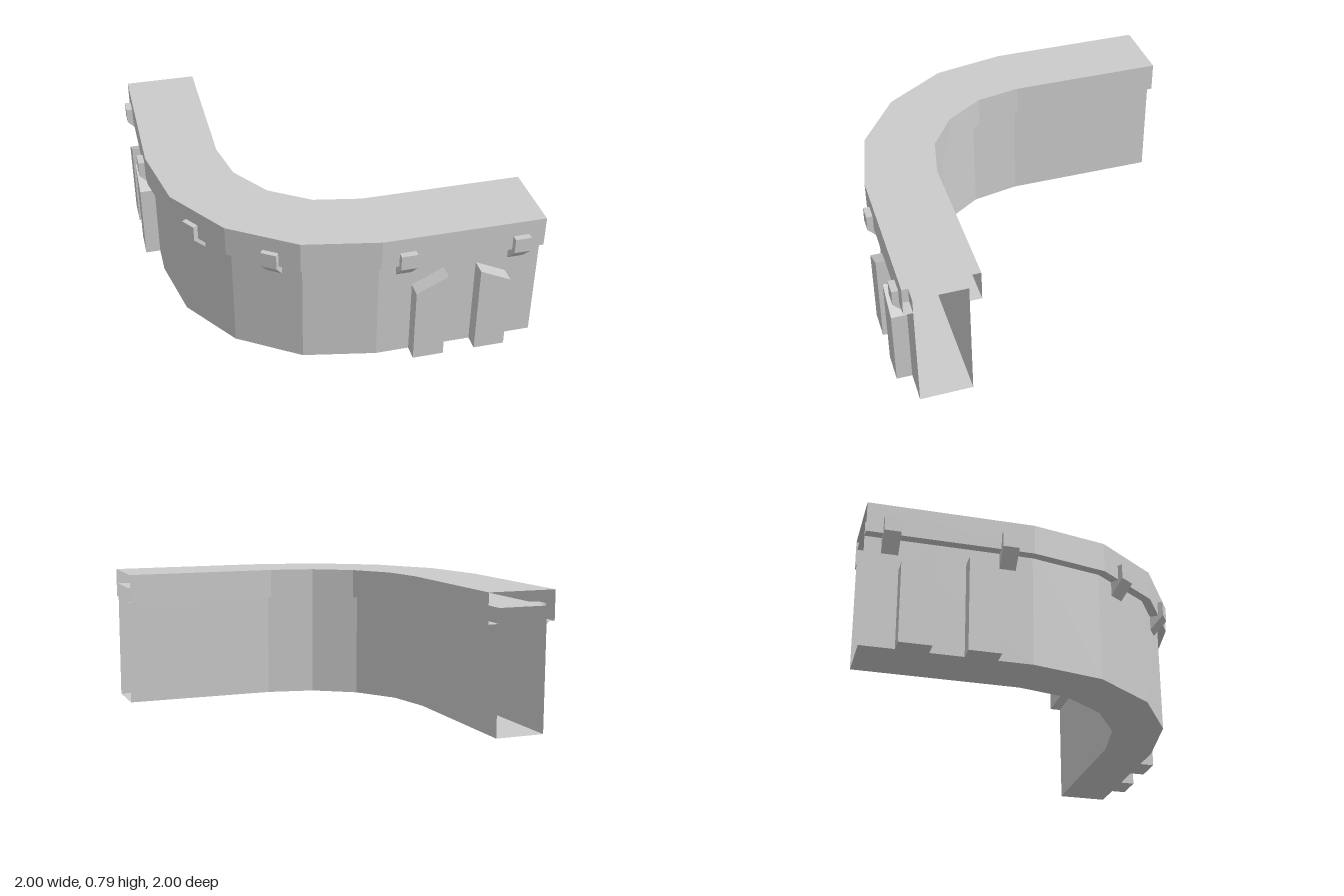
import * as THREE from 'three';

const material = new THREE.MeshStandardMaterial({ color: 0xcccccc, flatShading: true, side: THREE.DoubleSide });
const BEND = 0.11;   // bend centre is (BEND, -BEND) in x, z
const FRONT = 1;     // outermost face of the brackets and ribs

// Point at radius r and height y on one of the seven stations around the corner
function stationPoint(i, r, y) {
  if (i === 0) return [1, y, r - BEND];
  if (i === 6) return [BEND - r, y, -1];
  const a = (i - 1) * Math.PI / 8;
  return [BEND - r * Math.sin(a), y, r * Math.cos(a) - BEND];
}

// Sweep a [radius, height] profile along the L-shaped path, leaving both ends open
function sweep(name, profile) {
  const positions = [];
  for (let i = 0; i < 6; i++) {
    for (let j = 0; j < profile.length - 1; j++) {
      const a = stationPoint(i, ...profile[j]);
      const b = stationPoint(i, ...profile[j + 1]);
      const c = stationPoint(i + 1, ...profile[j + 1]);
      const d = stationPoint(i + 1, ...profile[j]);
      positions.push(...a, ...b, ...c, ...a, ...c, ...d);
    }
  }
  const geometry = new THREE.BufferGeometry();
  geometry.setAttribute('position', new THREE.Float32BufferAttribute(positions, 3));
  geometry.computeVertexNormals();
  const mesh = new THREE.Mesh(geometry, material);
  mesh.name = name;
  return mesh;
}

function extrude(points, depth) {
  const shape = new THREE.Shape(points.map(([x, y]) => new THREE.Vector2(x, y)));
  return new THREE.ExtrudeGeometry(shape, { depth, bevelEnabled: false });
}

// Place a part whose outer face is at (x, z), turned by angle from the front
function place(group, name, geometry, x, z, angle) {
  const mesh = new THREE.Mesh(geometry, material);
  mesh.name = name;
  mesh.position.set(x, 0, z);
  mesh.rotation.y = angle;
  group.add(mesh);
}

export function createModel() {
  const group = new THREE.Group();

  // Hollow wall and the wider cap that overhangs it
  group.add(sweep('wall', [[1.025, 0], [1.025, 0.705], [0.735, 0.705], [0.735, 0], [1.025, 0]]));
  group.add(sweep('cap', [[1.025, 0.62], [1.075, 0.62], [1.075, 0.79], [0.67, 0.79], [0.67, 0.62], [0.735, 0.62]]));

  // Brackets with a sloped underside, mirrored about the corner's diagonal
  const bracket = extrude([[-0.085, 0.53], [0, 0.62], [0, 0.705], [-0.085, 0.705]], 0.088);
  bracket.rotateY(-Math.PI / 2).translate(0.044, 0, 0);
  const brackets = [[0.247, FRONT, 0], [0.867, FRONT, 0], [-0.455, 0.815, -Math.PI * 3 / 16]];
  for (const [x, z, angle] of brackets) {
    place(group, 'bracket', bracket, x, z, angle);
    place(group, 'bracket', bracket, -z, -x, -Math.PI / 2 - angle);
  }

  // Upright ribs with slanted tops, a facing pair on each straight side
  const rib = (left, right) =>
    extrude([[-0.086, 0], [0.086, 0], [0.086, right], [-0.086, left]], 0.085).translate(0, 0, -0.085);
  const risingRib = rib(0.445, 0.53);
  const fallingRib = rib(0.53, 0.445);
  for (const [x, front, side] of [[0.381, risingRib, fallingRib], [0.732, fallingRib, risingRib]]) {
    place(group, 'rib', front, x, FRONT, 0);
    place(group, 'rib', side, -FRONT, -x, -Math.PI / 2);
  }

  return group;
}
